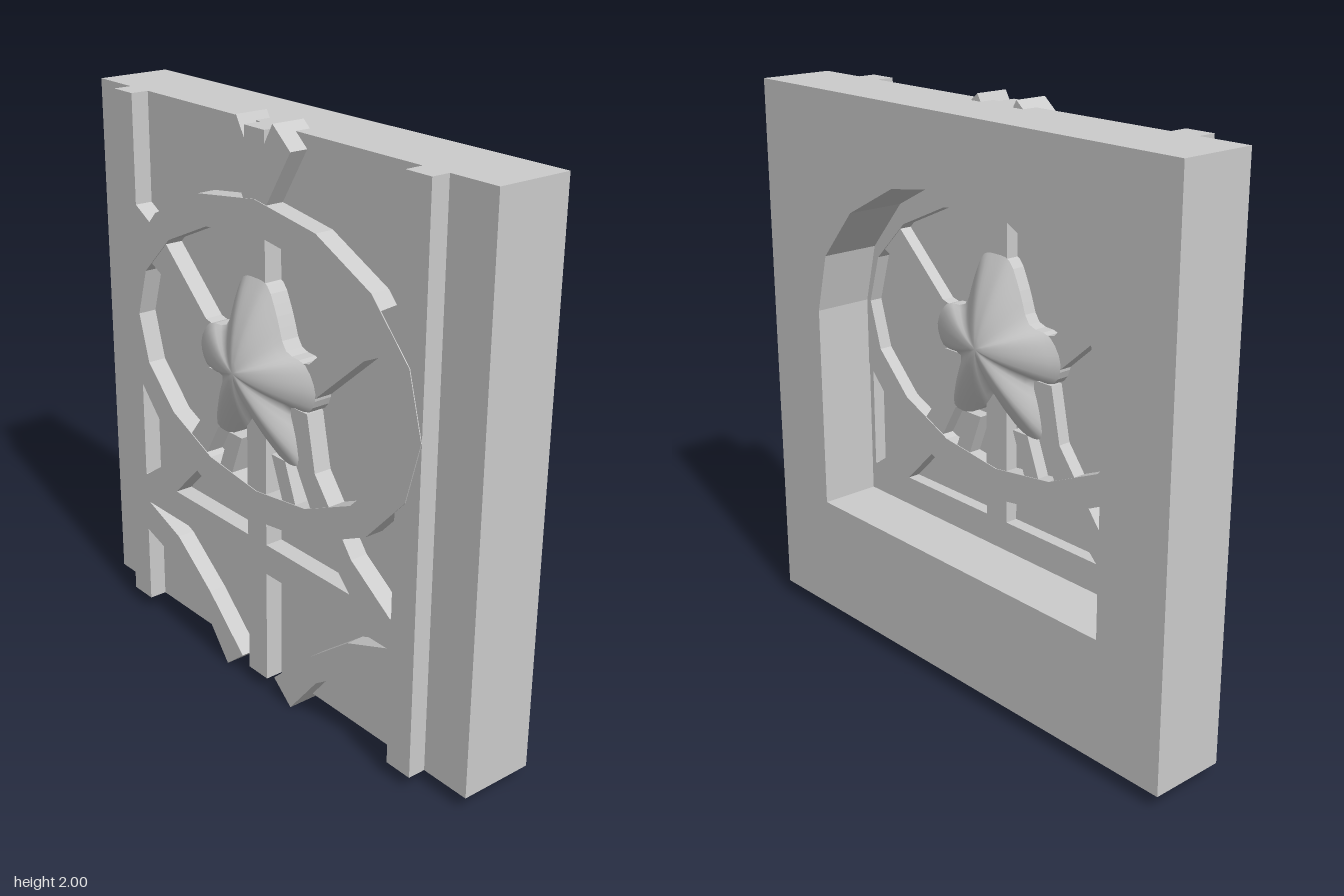
import * as THREE from 'three';

const material = new THREE.MeshStandardMaterial({ color: 0xcccccc, side: THREE.DoubleSide });
const toVectors = pts => pts.map(([x, y]) => new THREE.Vector2(x, y));

// Flat outline with optional hole, extruded between two depths
function slab(name, pts, z0, z1, hole) {
  const shape = new THREE.Shape(toVectors(pts));
  if (hole) shape.holes.push(new THREE.Path(toVectors(hole)));
  const geo = new THREE.ExtrudeGeometry(shape, { depth: z1 - z0, bevelEnabled: false });
  geo.translate(0, 0, z0);
  const mesh = new THREE.Mesh(geo, material);
  mesh.name = name;
  return mesh;
}

const rect = (x0, y0, x1, y1) => [[x0, y0], [x1, y0], [x1, y1], [x0, y1]];

// Points on an ellipse around the rosette centre
function ellipse(rx, ry, from, to, steps) {
  return Array.from({ length: steps + 1 }, (_, i) => {
    const a = from + (to - from) * i / steps;
    return [rx * Math.cos(a), 1.2 + ry * Math.sin(a)];
  });
}

// Closed star outline relative to its centre, smoothed from one half
function starOutline() {
  const half = [[0, 0.3], [-0.06, 0.29], [-0.11, 0.2], [-0.155, 0.1], [-0.25, 0.08], [-0.3, 0],
    [-0.27, -0.07], [-0.18, -0.085], [-0.205, -0.18], [-0.215, -0.27], [-0.15, -0.28], [-0.06, -0.235], [0, -0.17]];
  const other = half.slice(1, -1).reverse().map(([x, y]) => [-x, y]);
  const pts = [...half, ...other].map(([x, y]) => new THREE.Vector3(x, y, 0));
  return new THREE.CatmullRomCurve3(pts, true).getPoints(72).slice(0, -1);
}

// Domed star face: shrinking copies of the outline rise to the middle
function starDome(name, outline, base, dir) {
  const rings = 8, n = outline.length, pos = [], index = [];
  for (let r = 0; r < rings; r++) {
    const s = 1 - r / rings;
    for (const p of outline) pos.push(p.x * s, 1.2 + p.y * s, base + dir * 0.095 * (1 - s ** 1.6));
  }
  pos.push(0, 1.2, base + dir * 0.095);
  const tri = (a, b, c) => (dir > 0 ? index.push(a, b, c) : index.push(a, c, b));
  for (let r = 0; r < rings; r++) {
    for (let i = 0; i < n; i++) {
      const j = (i + 1) % n, a = r * n + i, b = r * n + j;
      if (r === rings - 1) tri(a, b, rings * n);
      else {
        tri(a, b, b + n);
        tri(a, b + n, a + n);
      }
    }
  }
  const geo = new THREE.BufferGeometry();
  geo.setAttribute('position', new THREE.Float32BufferAttribute(pos, 3));
  geo.setIndex(index);
  geo.computeVertexNormals();
  const mesh = new THREE.Mesh(geo, material);
  mesh.name = name;
  return mesh;
}

export function createModel() {
  const group = new THREE.Group();
  group.name = 'traceryWindow';

  // Wall with an arched opening, closed near the front by a thin pane
  const opening = [[-0.69, 0.47], [0.69, 0.47], ...ellipse(0.69, 0.54, 0, Math.PI, 8)];
  group.add(slab('wall', rect(-0.96, 0.05, 0.96, 1.975), -0.215, 0.055, opening));
  group.add(slab('pane', opening, 0.045, 0.055));

  // Straight bars
  group.add(slab('centreBar', rect(-0.05, 0.05, 0.05, 1.975), 0, 0.12));
  group.add(slab('crossBar', rect(-0.7, 0.465, 0.7, 0.575), 0, 0.12));

  // Oval ring
  const full = Math.PI * 2;
  group.add(slab('ovalRing', ellipse(0.775, 0.553, 0, full, 16).slice(0, -1), -0.003, 0.123,
    ellipse(0.67, 0.443, 0, full, 16).slice(0, -1)));

  // Paired bars, drawn on one side and mirrored
  const pairs = {
    sideBar: rect(-0.775, 0.05, -0.67, 1.975),
    topArm: [[-0.175, 1.93], [-0.09, 2], [0, 1.85], [0.03, 1.7], [-0.03, 1.7]],
    lowerArc: [[-0.7, 0.475], [-0.655, 0.465], [-0.47, 0.395], [-0.28, 0.25], [-0.09, 0.075],
      [-0.18, 0], [-0.315, 0.165], [-0.5, 0.29], [-0.67, 0.345], [-0.7, 0.35]],
    upperSpoke: [[-0.7, 1.61], [-0.5, 1.5], [-0.27, 1.29], [-0.1, 1.25], [-0.1, 1.15],
      [-0.27, 1.16], [-0.52, 1.375], [-0.7, 1.46]],
    lowerSpoke: [[-0.67, 0.57], [-0.48, 0.7], [-0.3, 0.93], [-0.26, 1.12], [-0.12, 1.12],
      [-0.21, 0.92], [-0.32, 0.73], [-0.48, 0.57]],
    footSpoke: [[-0.22, 0.74], [-0.15, 0.92], [-0.08, 0.92], [-0.15, 0.74]],
  };
  for (const [name, pts] of Object.entries(pairs)) {
    const title = name[0].toUpperCase() + name.slice(1);
    group.add(slab('right' + title, pts, 0, 0.12));
    group.add(slab('left' + title, pts.map(([x, y]) => [-x, y]), 0, 0.12));
  }

  // Star boss, domed on both faces
  const outline = starOutline();
  group.add(slab('starBody', outline.map(p => [p.x, p.y + 1.2]), 0, 0.12));
  group.add(starDome('starFrontDome', outline, 0.12, 1));
  group.add(starDome('starBackDome', outline, 0, -1));

  return group;
}
